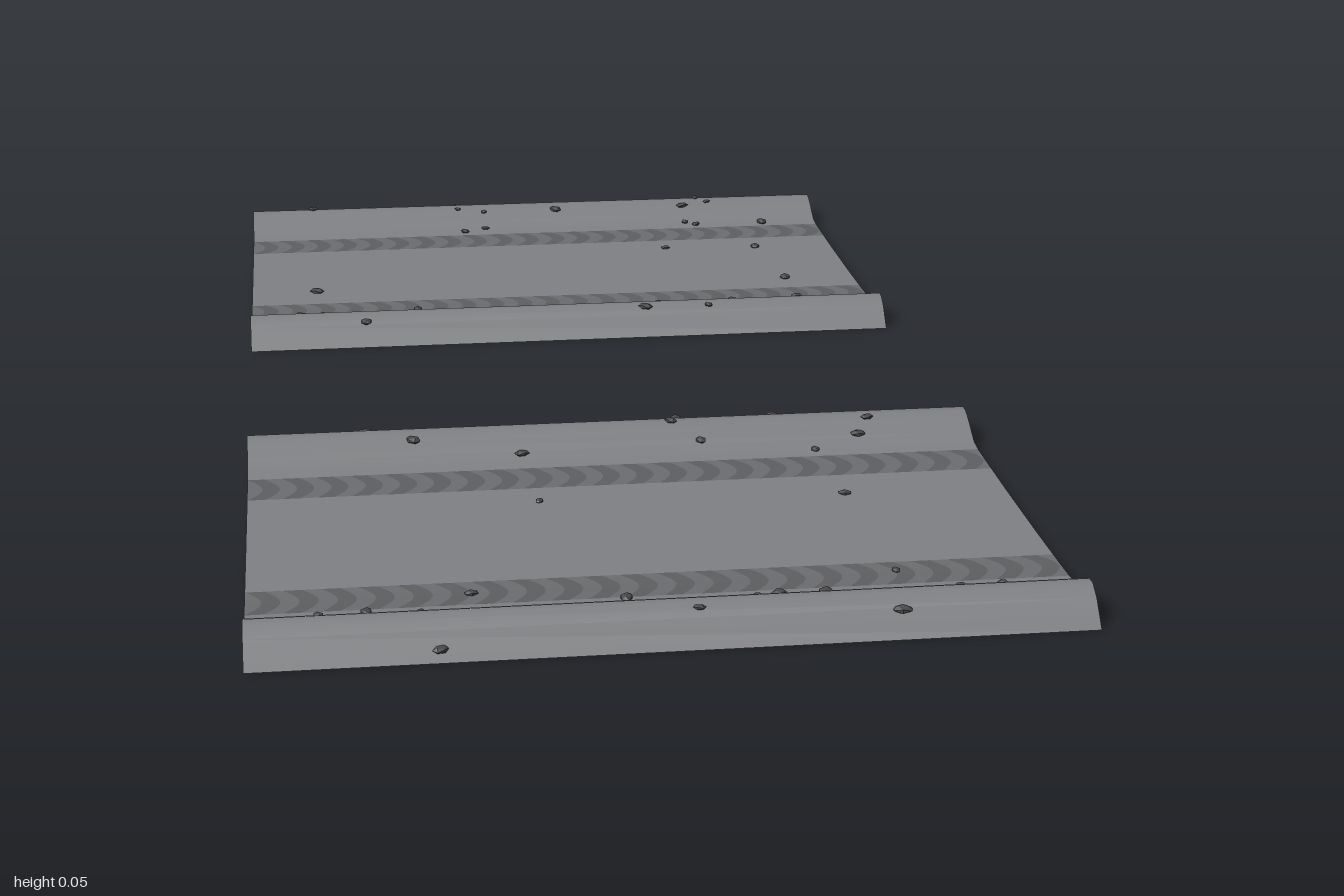
import * as THREE from 'three';
import { mergeGeometries } from 'three/addons/utils/BufferGeometryUtils.js';

const HALF_X = 0.545;
const BAND = [0.16, 0.197, 0.235]; // inner edge, middle, outer edge of a tread band
const LUGS = 22;

// Half profile of a rut: [distance from its centre line, height]
const PROFILE = [
  [0, 0.009], [0.08, 0.009], [0.16, 0.010], [0.197, 0.0105], [0.235, 0.0115], [0.258, 0.014],
  [0.275, 0.023], [0.298, 0.036], [0.317, 0.044], [0.332, 0.0445], [0.352, 0.032], [0.381, 0],
];

// Pebble positions on each rut: [x, z]
const BACK_PEBBLES = [
  [-0.32, -0.96], [-0.43, -0.95], [-0.15, -0.96], [-0.15, -0.93], [-0.10, -0.92], [-0.10, -0.88],
  [-0.14, -0.87], [0.04, -0.92], [0.13, -0.98], [0.33, -0.98], [0.32, -0.95], [0.29, -0.92],
  [0.34, -0.93], [0.46, -0.985], [0.31, -0.87], [0.29, -0.88], [0.44, -0.87], [0.23, -0.73],
  [0.40, -0.72], [-0.43, -0.53], [0.42, -0.52], [-0.42, -0.34], [-0.46, -0.34], [-0.30, -0.36],
  [-0.26, -0.31], [-0.35, -0.27], [-0.07, -0.37], [0.04, -0.38], [0.16, -0.33], [0.13, -0.28],
  [0.24, -0.28], [0.29, -0.38], [0.29, -0.33], [0.36, -0.34], [0.40, -0.31],
];
const FRONT_PEBBLES = [
  [-0.37, 0.26], [-0.30, 0.31], [-0.14, 0.34], [0.15, 0.24], [0.10, 0.27], [0.09, 0.29],
  [0.13, 0.33], [0.25, 0.27], [0.39, 0.30], [0.30, 0.355], [0.37, 0.33], [-0.13, 0.50],
  [0.31, 0.52], [-0.39, 0.91], [-0.45, 0.89], [-0.32, 0.88], [-0.25, 0.81], [-0.05, 0.85],
  [0.12, 0.87], [0.15, 0.86], [0.21, 0.87], [0.39, 0.87], [0.45, 0.86], [0.32, 0.80],
  [0.29, 0.965], [0.03, 0.95], [-0.30, 0.98],
];

const material = (color) =>
  new THREE.MeshStandardMaterial({ color, side: THREE.DoubleSide, roughness: 1 });

function height(t) {
  const d = Math.min(Math.abs(t), 0.381);
  const i = Math.max(1, PROFILE.findIndex((p) => p[0] >= d));
  const [a, b] = [PROFILE[i - 1], PROFILE[i]];
  return a[1] + ((b[1] - a[1]) * (d - a[0])) / (b[0] - a[0]);
}

// Sheet from x0 to x1 following the rut profile at stations ts; bow bends its sides
function ribbon(x0, x1, ts, bow = () => 0) {
  const pos = [];
  const index = [];
  ts.forEach((t, i) => {
    for (const x of [x0, x1]) {
      pos.push(THREE.MathUtils.clamp(x + bow(t), -HALF_X, HALF_X), height(t), t);
    }
    if (i === 0) return;
    const k = 2 * i;
    index.push(k - 2, k, k + 1, k - 2, k + 1, k - 1);
  });
  const g = new THREE.BufferGeometry();
  g.setAttribute('position', new THREE.Float32BufferAttribute(pos, 3));
  g.setIndex(index);
  g.computeVertexNormals();
  return g;
}

function seeded(seed) {
  let s = seed;
  return () => (s = (s * 16807) % 2147483647) / 2147483647;
}

function makeRut(name, centreZ, pebbles, mats, rnd) {
  const rut = new THREE.Group();
  rut.name = name;
  rut.position.z = centreZ;
  const add = (geometry, mat, part) => {
    const mesh = new THREE.Mesh(geometry, mat);
    mesh.name = part;
    rut.add(mesh);
    return mesh;
  };

  // Pressed floor and the two raised banks beside it
  const outer = PROFILE.map((p) => p[0]).filter((d) => d >= BAND[2]);
  const inner = [0, 0.08, BAND[0]];
  const mirrored = (list) => list.map((d) => -d).reverse();
  add(ribbon(-HALF_X, HALF_X, [...mirrored(inner), ...inner.slice(1)]), mats.soil, 'rutFloor');
  add(ribbon(-HALF_X, HALF_X, outer), mats.soil, 'frontBank');
  add(ribbon(-HALF_X, HALF_X, mirrored(outer)), mats.soil, 'backBank');

  // Tread bands of curved prints, in two alternating tones
  const pitch = (2 * HALF_X) / LUGS;
  for (const side of [1, -1]) {
    const ts = [];
    for (let i = 0; i <= 8; i++) {
      const d = THREE.MathUtils.lerp(BAND[0], BAND[2], i / 8);
      ts.push(side * d);
    }
    if (side < 0) ts.reverse();
    const bow = (t) => 0.022 * Math.cos((Math.PI * (Math.abs(t) - BAND[1])) / (BAND[2] - BAND[0]));
    const prints = [];
    const gaps = [];
    for (let i = -1; i < LUGS; i++) {
      const x = -HALF_X + i * pitch;
      prints.push(ribbon(x, x + pitch * 0.5, ts, bow));
      gaps.push(ribbon(x + pitch * 0.5, x + pitch, ts, bow));
    }
    const label = side > 0 ? 'front' : 'back';
    add(mergeGeometries(prints), mats.print, label + 'TreadPrints');
    add(mergeGeometries(gaps), mats.gap, label + 'TreadGaps');
  }

  // Loose pebbles resting on the soil
  for (const [x, z] of pebbles) {
    const t = z - centreZ;
    const r = 0.006 + 0.006 * rnd();
    const pebble = add(new THREE.IcosahedronGeometry(1, 0), mats.pebble, 'pebble');
    pebble.scale.set(r * 1.2, r * 0.45, r * 0.9);
    pebble.rotation.y = rnd() * Math.PI;
    pebble.position.set(x, height(t) + r * 0.2, t);
  }
  return rut;
}

export function createModel() {
  const model = new THREE.Group();
  model.name = 'wheelRuts';
  const mats = {
    soil: material(0x808184),
    print: material(0x5e5f62),
    gap: material(0x6c6d70),
    pebble: material(0x4a4a4c),
  };
  mats.pebble.flatShading = true;
  const rnd = seeded(1234);
  model.add(makeRut('backRut', -0.619, BACK_PEBBLES, mats, rnd));
  model.add(makeRut('frontRut', 0.61, FRONT_PEBBLES, mats, rnd));
  return model;
}
